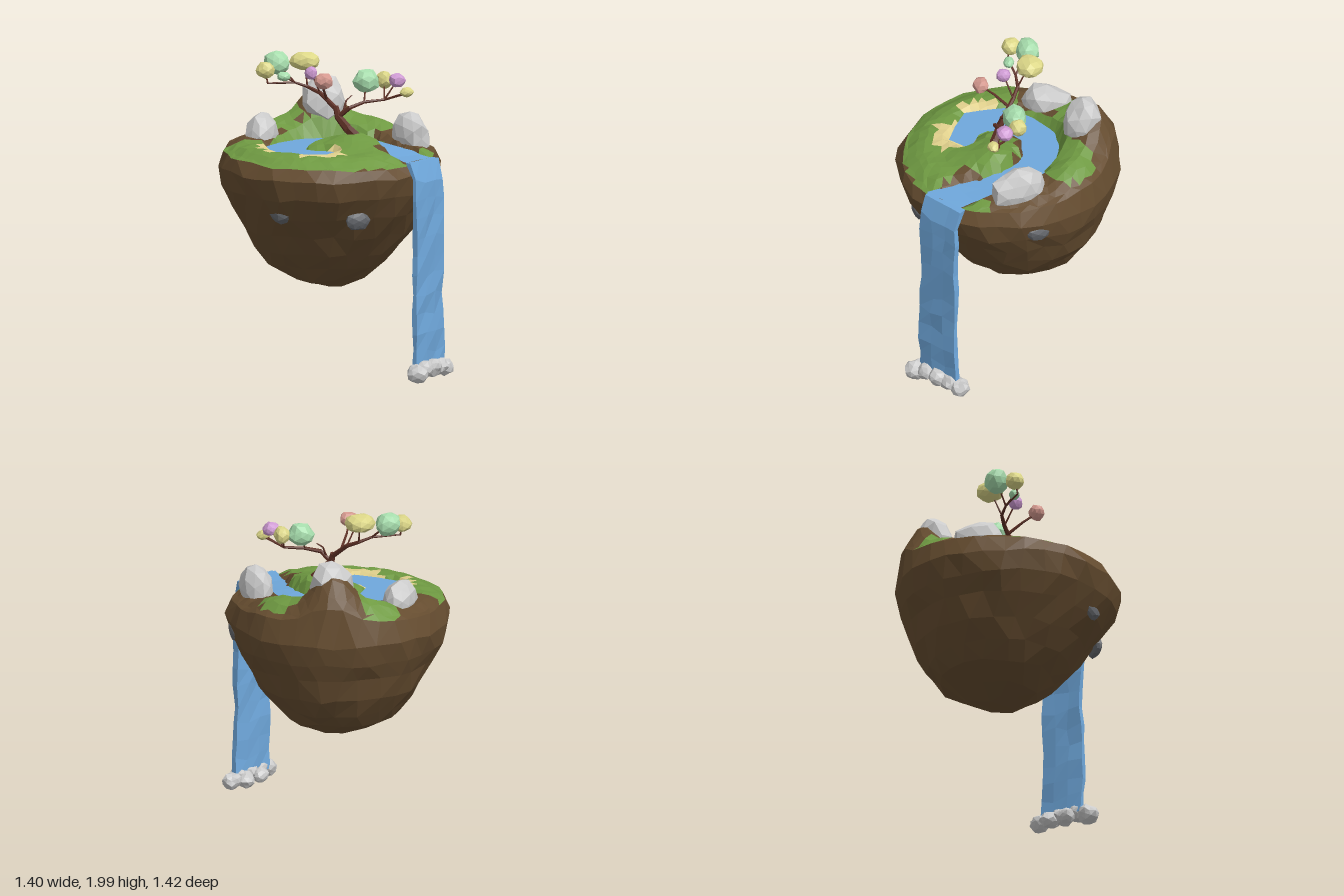
import * as THREE from 'three';

const V = (x, y, z) => new THREE.Vector3(x, y, z);
const COLORS = {
  soil: 0x664d30, grass: 0x6f9a42, sand: 0xe0d08c, water: 0x6fa8dc, rock: 0xcccccc, slate: 0x66696e,
  bark: 0x5e3025, mint: 0xa6dcac, yellow: 0xdcd788, violet: 0xcf9bd4, coral: 0xd69a90,
};
const mats = {};
for (const k in COLORS) mats[k] = new THREE.MeshStandardMaterial({ color: COLORS[k], flatShading: true });
mats.water.side = THREE.DoubleSide;

let seed = 7;
const rnd = (a = 1) => { seed = (seed * 16807) % 2147483647; return (seed / 2147483647 * 2 - 1) * a; };
// repeatable noise from a position, so shared corners move together
const hash = (x, y, z, s) => {
  const h = Math.sin(Math.round(x * 500) * 12.99 + Math.round(y * 500) * 78.23 + Math.round(z * 500) * 37.72 + s * 5.17) * 43758.5;
  return (h - Math.floor(h)) * 2 - 1;
};
const smooth = THREE.MathUtils.smoothstep;
const bump = (x, z, cx, cz, sx, sz) => Math.exp(-(((x - cx) / sx) ** 2 + ((z - cz) / sz) ** 2) / 2);
const inside = (x, z, cx, cz, sx, sz) => ((x - cx) / sx) ** 2 + ((z - cz) / sz) ** 2 < 1;

function soup(name, pts, mat) {
  const g = new THREE.BufferGeometry().setFromPoints(pts);
  g.computeVertexNormals();
  const m = new THREE.Mesh(g, mat);
  m.name = name;
  return m;
}

// banks of the spiral stream, from the pond to the lip of the fall (x, z)
const outer = [[-.13, .35], [-.26, .29], [-.39, .21], [-.4, .08], [-.4, -.06], [-.27, -.2], [-.1, -.31], [.06, -.32],
  [.2, -.27], [.33, -.17], [.36, -.03], [.41, .1], [.48, .2], [.5, .3], [.54, .39]];
const inner = [[-.03, .25], [-.08, .2], [-.15, .16], [-.18, .1], [-.15, .03], [-.12, -.04], [-.05, -.09], [.02, -.08],
  [.12, -.07], [.2, 0], [.24, .08], [.27, .15], [.29, .25], [.3, .38], [.34, .57]];
const bed = [...outer, [.64, .5], [.44, .72], ...inner.slice().reverse()];

// signed distance to the stream bed, negative in the water
function shore(x, z) {
  let d = 9, wet = false;
  bed.forEach(([ax, az], i) => {
    const [bx, bz] = bed[(i + 1) % bed.length], ex = bx - ax, ez = bz - az;
    const t = THREE.MathUtils.clamp(((x - ax) * ex + (z - az) * ez) / (ex * ex + ez * ez), 0, 1);
    d = Math.min(d, Math.hypot(x - ax - ex * t, z - az - ez * t));
    if ((az > z) !== (bz > z) && x < ax + ex * (z - az) / ez) wet = !wet;
  });
  return wet ? -d : d;
}

function height(x, z) {
  const land = 1.44 - .05 * z - .06 * smooth(Math.hypot(x, z), .52, .68)
    + .27 * bump(x, z, .08, -.52, .12, .11) + .07 * bump(x, z, .38, -.35, .12, .1)
    + .05 * bump(x, z, -.22, -.5, .1, .1) + .07 * bump(x, z, .14, .12, .12, .13);
  return THREE.MathUtils.lerp(1.35, land, smooth(shore(x, z), -.04, .03));
}

function ground(x, z) {
  const r = Math.hypot(x, z), a = Math.atan2(x, z), d = shore(x, z);
  if (inside(x, z, -.43, .11, .05, .13) || (d < .11 && z > .2 && x < -.02 && x > -.3)) return 'sand';
  if (z < 0 && r < .2 && d < .025) return 'soil';
  if (r < .35 || (r < .65 && a > -1.84 && a < .58)) return 'grass';
  const patches = [[-.2, -.49, .13, .16], [.36, -.32, .15, .14], [.55, .3, .07, .08], [.06, -.35, .2, .05]];
  return patches.some(p => inside(x, z, ...p)) ? 'grass' : 'soil';
}

// island: rings from the middle of the top, over the rim, down to the underside
function island() {
  const rows = [];
  for (let r = 0; r < .63; r += .052) rows.push({ r, dz: 0, n: r ? Math.max(6, Math.round(r * 105)) : 1 });
  rows.push({ r: .655, dz: 0, n: 40 });
  for (const [r, y, dz] of [[.695, 1.29, 0], [.665, 1.16, 0], [.6, 1.04, -.02], [.525, .9, -.05], [.445, .78, -.06],
    [.36, .68, -.07], [.23, .59, -.04], [.11, .545, -.02], [0, .53, 0]]) {
    rows.push({ r, y, dz, n: r ? Math.max(7, Math.round(r * 48)) : 1 });
  }
  for (const row of rows) {
    row.off = rnd(.4) / row.n;
    row.p = Array.from({ length: row.n }, (_, i) => {
      const a = (i / row.n + row.off) * Math.PI * 2 + rnd(.18) / row.n * 6;
      const r = row.r ? row.r + rnd(.011) : 0, x = r * Math.sin(a), z = r * Math.cos(a) + row.dz;
      return V(x, row.y ? row.y + (row.r ? rnd(.014) : 0) : height(x, z) + rnd(.005), z);
    });
  }
  const tris = { soil: [], grass: [], sand: [] };
  for (let k = 0; k + 1 < rows.length; k++) {
    const A = rows[k], B = rows[k + 1];
    const add = (...t) => {
      const c = V(0, 0, 0).add(t[0]).add(t[1]).add(t[2]).divideScalar(3);
      tris[B.y ? 'soil' : ground(c.x, c.z)].push(...t);
    };
    let i = 0, j = 0;
    const a = () => A.p[i % A.n], b = () => B.p[j % B.n];
    const na = A.n > 1 ? A.n : 0, nb = B.n > 1 ? B.n : 0;
    while (i < na || j < nb) {
      const stepB = i >= na || (j < nb && (j + 1) / B.n + B.off < (i + 1) / A.n + A.off);
      const p = a(), q = b();
      if (stepB) { j++; add(p, q, b()); } else { i++; add(p, q, a()); }
    }
  }
  const g = new THREE.Group();
  g.name = 'island';
  for (const k in tris) g.add(soup(k, tris[k], mats[k]));
  return g;
}

// stream: a faceted ribbon between the two banks
function stream() {
  const pts = [], n = outer.length;
  const at = (i, t) => {
    const y = 1.412 - .034 * smooth(i, n - 5, n - 1);
    return V(THREE.MathUtils.lerp(outer[i][0], inner[i][0], t), y, THREE.MathUtils.lerp(outer[i][1], inner[i][1], t));
  };
  for (let i = 0; i + 1 < n; i++) for (const t of [0, .5]) {
    const a = at(i, t), b = at(i + 1, t), c = at(i + 1, t + .5), d = at(i, t + .5);
    pts.push(a, c, b, a, d, c);
  }
  return soup('stream', pts, mats.water);
}

// waterfall: a thin rippled slab hanging from the rim
function waterfall() {
  const g = new THREE.BoxGeometry(.285, 1.3, .035, 3, 11, 1), p = g.attributes.position;
  for (let i = 0; i < p.count; i++) {
    const x = p.getX(i), y = p.getY(i), z = p.getZ(i), top = smooth(y, .5, .65);
    p.setXYZ(i, x * (1 + .05 * top) + hash(x, y, 0, 1) * .012, y + (Math.abs(y) < .64 ? hash(x, y, 0, 2) * .02 : 0),
      z + hash(x, y, z, 3) * .008 - .05 * top);
  }
  const m = new THREE.Mesh(g, mats.water);
  m.name = 'waterfall';
  m.position.set(.495, .725, .515);
  m.rotation.y = .7;
  return m;
}

// faceted lump used for rocks and leaf clusters
function lump(name, mat, [x, y, z], [sx, sy, sz], rough = .12, turn = 0) {
  const g = new THREE.IcosahedronGeometry(1, 1), p = g.attributes.position;
  for (let i = 0; i < p.count; i++) {
    const v = V(0, 0, 0).fromBufferAttribute(p, i), s = 1 + hash(v.x, v.y, v.z, x * 9 + z * 4) * rough;
    p.setXYZ(i, v.x * s * sx, v.y * s * sy, v.z * s * sz);
  }
  g.computeVertexNormals();
  const m = new THREE.Mesh(g, mats[mat]);
  m.name = name;
  m.position.set(x, y, z);
  m.rotation.y = turn;
  return m;
}

// branch: tapering cylinders along a list of points
function branch(name, pts, r0, r1) {
  const g = new THREE.Group(), n = pts.length - 1;
  g.name = name;
  for (let i = 0; i < n; i++) {
    const a = V(...pts[i]), b = V(...pts[i + 1]), dir = b.clone().sub(a), r = t => r0 + (r1 - r0) * t / n;
    const m = new THREE.Mesh(new THREE.CylinderGeometry(r(i + 1), r(i), dir.length() + r(i) * .5, 6), mats.bark);
    m.position.copy(a).add(b).multiplyScalar(.5);
    m.quaternion.setFromUnitVectors(V(0, 1, 0), dir.normalize());
    g.add(m);
  }
  return g;
}

function tree() {
  const g = new THREE.Group();
  g.name = 'tree';
  const left = [[.03, 1.65, .04], [-.05, 1.74, -.04], [-.12, 1.775, -.08], [-.2, 1.805, -.08], [-.38, 1.81, -.06]];
  const right = [[.04, 1.6, .06], [.1, 1.66, .1], [.2, 1.69, .08], [.33, 1.7, .08], [.45, 1.745, .16]];
  g.add(branch('trunk', [[.16, 1.46, .11], [.09, 1.53, .1], [.04, 1.6, .06], [.03, 1.66, .04]], .036, .017));
  g.add(branch('leftBranch', left, .016, .005), branch('rightBranch', right, .016, .005));
  g.add(branch('frontBranch', [[-.02, 1.71, 0], [-.06, 1.78, .08], [-.08, 1.83, .15]], .01, .005));
  g.add(branch('bareTwig', [[.07, 1.64, .08], [.09, 1.7, .06], [.13, 1.73, .05]], .008, .003));
  // colour, centre, size, point the twig grows from
  const leaves = [
    ['yellow', [-.12, 1.925, -.15], [.093, .058, .085], left[2]], ['mint', [-.295, 1.92, -.17], [.08, .078, .075], left[3]],
    ['yellow', [-.39, 1.89, -.08], [.058, .053, .06], left[4]], ['mint', [-.28, 1.85, -.05], [.042, .03, .034], left[3]],
    ['violet', [-.12, 1.875, .01], [.04, .042, .045], left[1]], ['coral', [-.08, 1.845, .16], [.058, .05, .05], [-.06, 1.78, .08]],
    ['mint', [.235, 1.81, 0], [.082, .075, .078], right[2]], ['yellow', [.35, 1.81, 0], [.05, .055, .055], right[3]],
    ['violet', [.41, 1.82, .09], [.053, .045, .053], right[3]], ['yellow', [.45, 1.755, .17], [.043, .032, .035], right[3]],
  ];
  leaves.forEach(([c, p, s, from]) => g.add(lump('leafCluster', c, p, s, .1), branch('twig', [from, p], .006, .004)));
  return g;
}

export function createModel() {
  const model = new THREE.Group();
  model.add(island(), stream(), waterfall(), tree());
  // boulders round the stream
  model.add(lump('backBoulder', 'rock', [.08, 1.62, -.45], [.135, .16, .12]));
  model.add(lump('rightBoulder', 'rock', [.51, 1.46, .03], [.1, .145, .175], .1, .2));
  model.add(lump('leftBoulder', 'rock', [-.355, 1.46, -.3], [.1, .13, .16], .1, -.35));
  // stones set into the sides
  for (const [a, y, r] of [[-.8, 1.06, .585], [.05, 1.03, .575], [1.68, 1.22, .655]]) {
    model.add(lump('embeddedStone', 'slate', [r * Math.sin(a), y, r * Math.cos(a)], [.08, .06, .035], .12, a));
  }
  // stones at the foot of the fall
  for (const [x, y, z, s] of [[.39, .065, .645, .066], [.45, .085, .585, .06], [.44, .06, .52, .055], [.52, .085, .52, .066],
    [.54, .06, .44, .058], [.575, .08, .46, .06], [.625, .065, .405, .06]]) {
    model.add(lump('fallStone', 'rock', [x, y, z], [s, s * .9, s], .14, x * 9));
  }
  return model;
}
